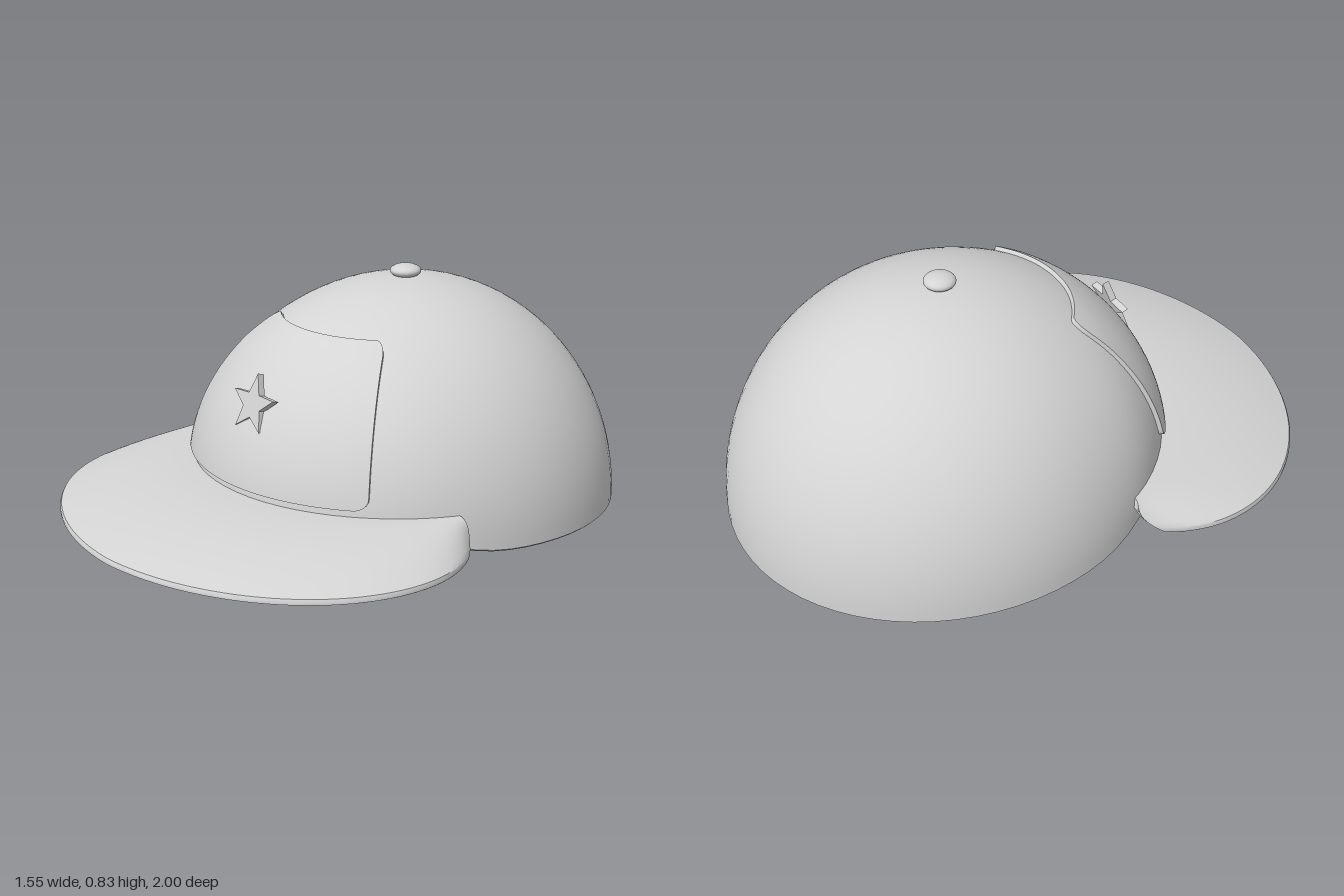
import * as THREE from 'three';
import { toCreasedNormals } from 'three/addons/utils/BufferGeometryUtils.js';

const RX = 0.712, RZ = 0.752, CZ = -0.248, TOP = 0.79;
const { lerp, clamp } = THREE.MathUtils;

// Height of the crown's lower edge, which rises towards the front
const rimY = (z) => Math.min(0.107, 0.008 + 0.055 * (z + 1) + 0.1 * (z + Math.sqrt(z * z + 0.004)));

// Grid of points with (0..nu) x (0..nv); optional end caps for closed sections
function gridGeometry(nu, nv, point, capped = false) {
  const pos = [], idx = [];
  const id = (i, j) => i * (nv + 1) + j;
  for (let i = 0; i <= nu; i++) for (let j = 0; j <= nv; j++) pos.push(...point(i, j));
  for (let i = 0; i < nu; i++) {
    for (let j = 0; j < nv; j++) {
      idx.push(id(i, j), id(i + 1, j), id(i, j + 1));
      idx.push(id(i + 1, j), id(i + 1, j + 1), id(i, j + 1));
    }
  }
  if (capped) {
    // Join the upper half of the section to the lower half
    const m = nv - 1;
    for (let j = 0; j < m / 2 - 0.5; j++) {
      const a = j, b = j + 1, c = m - j - 1, d = m - j;
      idx.push(id(0, a), id(0, b), id(0, c), id(0, a), id(0, c), id(0, d));
      idx.push(id(nu, a), id(nu, c), id(nu, b), id(nu, a), id(nu, d), id(nu, c));
    }
  }
  const g = new THREE.BufferGeometry();
  g.setAttribute('position', new THREE.Float32BufferAttribute(pos, 3));
  g.setIndex(idx);
  return toCreasedNormals(g, 0.6);
}

// Thin domed shell: inside surface down to a bevelled rim, then outside up to the top
function crownGeometry() {
  const profile = [], n = 28, inside = 0.976;
  for (let i = 0; i <= n; i++) {
    const a = (1 - i / n) * Math.PI / 2;
    profile.push(new THREE.Vector2(inside * Math.cos(a), inside * Math.sin(a)));
  }
  profile.push(new THREE.Vector2(0.985, -0.008), new THREE.Vector2(0.991, -0.008));
  for (let i = 0; i <= n; i++) {
    const a = (i / n) * Math.PI / 2;
    profile.push(new THREE.Vector2(Math.cos(a), Math.sin(a)));
  }
  const g = new THREE.LatheGeometry(profile, 72);
  const p = g.attributes.position;
  for (let i = 0; i < p.count; i++) {
    const z = CZ + RZ * p.getZ(i), rim = rimY(z);
    p.setXYZ(i, RX * p.getX(i), rim + p.getY(i) * (TOP - rim), z);
  }
  return toCreasedNormals(g, 0.6);
}

// Curved sheet brim: a thin section swept from one side, round the front, to the other
function brimGeometry() {
  const section = [], m = 12;
  for (let k = 0; k <= m; k++) {
    const s = k / m;
    section.push([s * 0.99, 0.12 + 0.08 * (1 - s * s)]);
  }
  section.push([1, 0.112], [1, 0.103]);
  for (let k = m; k >= 0; k--) {
    const s = k / m;
    section.push([s * 0.985, 0.1 + 0.07 * (1 - s * s)]);
  }
  section.push(section[0]);
  const n = 72;
  return gridGeometry(n, section.length - 1, (i, j) => {
    const [s, y] = section[j];
    // The ends bulge at mid height and tuck forward underneath
    const tuck = 0.03 * ((0.17 - y) / 0.07) ** 2;
    const t = lerp(tuck, 1 - tuck, i / n);
    const b = lerp(0.49, Math.PI - 0.49, t);
    const f = lerp(-0.56, Math.PI + 0.56, t);
    const depth = Math.sin(f) > 0 ? 0.6 : 0.54;
    const q = 1 - 0.04 * Math.sin(f) * Math.abs(Math.cos(f));
    const x = lerp(0.702 * Math.cos(b), 0.775 * q * Math.cos(f), s);
    const z = lerp(CZ + 0.742 * Math.sin(b), 0.4 + depth * q * Math.sin(f), s);
    return [x, y, z];
  }, true);
}

// Raised front panel with rounded corners, following the crown
function panelGeometry() {
  const n = 34, W = 0.68;
  const inner = (k) => (clamp(k, 1, n - 1) - 1) / (n - 2);
  return gridGeometry(n, n, (i, j) => {
    const v = (1 - Math.cos(Math.PI * inner(j))) / 2;
    const k = Math.max(0, 1 - Math.min(v, 1 - v) / 0.08);
    const w = W - 0.07 * (1 - Math.sqrt(1 - k * k));
    const a = w * (2 * inner(i) - 1);
    const y = 0.222 + 0.446 * v;
    let r = 1, z = 0;
    for (let m = 0; m < 6; m++) {
      z = CZ + RZ * r * Math.cos(a);
      const s = (y - rimY(z)) / (TOP - rimY(z));
      r = Math.sqrt(1 - s * s);
    }
    // The outermost ring drops back into the crown to form the edge
    const edge = i === 0 || j === 0 || i === n || j === n;
    const q = edge ? 0.99 : 1.02;
    return [q * RX * r * Math.sin(a), 0.1 + q * (y - 0.1), CZ + q * (z - CZ)];
  });
}

function starGeometry() {
  const shape = new THREE.Shape();
  for (let i = 0; i < 10; i++) {
    const r = i % 2 ? 0.042 : 0.1, a = Math.PI / 2 + (i * Math.PI) / 5;
    if (i) shape.lineTo(r * Math.cos(a), r * Math.sin(a));
    else shape.moveTo(r * Math.cos(a), r * Math.sin(a));
  }
  shape.closePath();
  const g = new THREE.ExtrudeGeometry(shape, { depth: 0.024, bevelEnabled: false });
  return g.translate(0, 0, -0.012);
}

export function createModel() {
  const cap = new THREE.Group();
  cap.name = 'cap';
  const grey = new THREE.MeshStandardMaterial({ color: 0xd4d4d4 });
  grey.name = 'lightGrey';
  const add = (name, geometry) => {
    const mesh = new THREE.Mesh(geometry, grey);
    mesh.name = name;
    cap.add(mesh);
    return mesh;
  };

  add('crown', crownGeometry());
  add('brim', brimGeometry());
  add('frontPanel', panelGeometry());

  // Star badge leaning back with the panel
  const star = add('starBadge', starGeometry());
  star.position.set(0, 0.477, 0.415);
  star.rotation.x = -0.28;

  // Flattened button on the very top
  const button = add('topButton', new THREE.SphereGeometry(0.053, 32, 16));
  button.scale.y = 0.45;
  button.position.set(0, 0.805, CZ);

  return cap;
}
